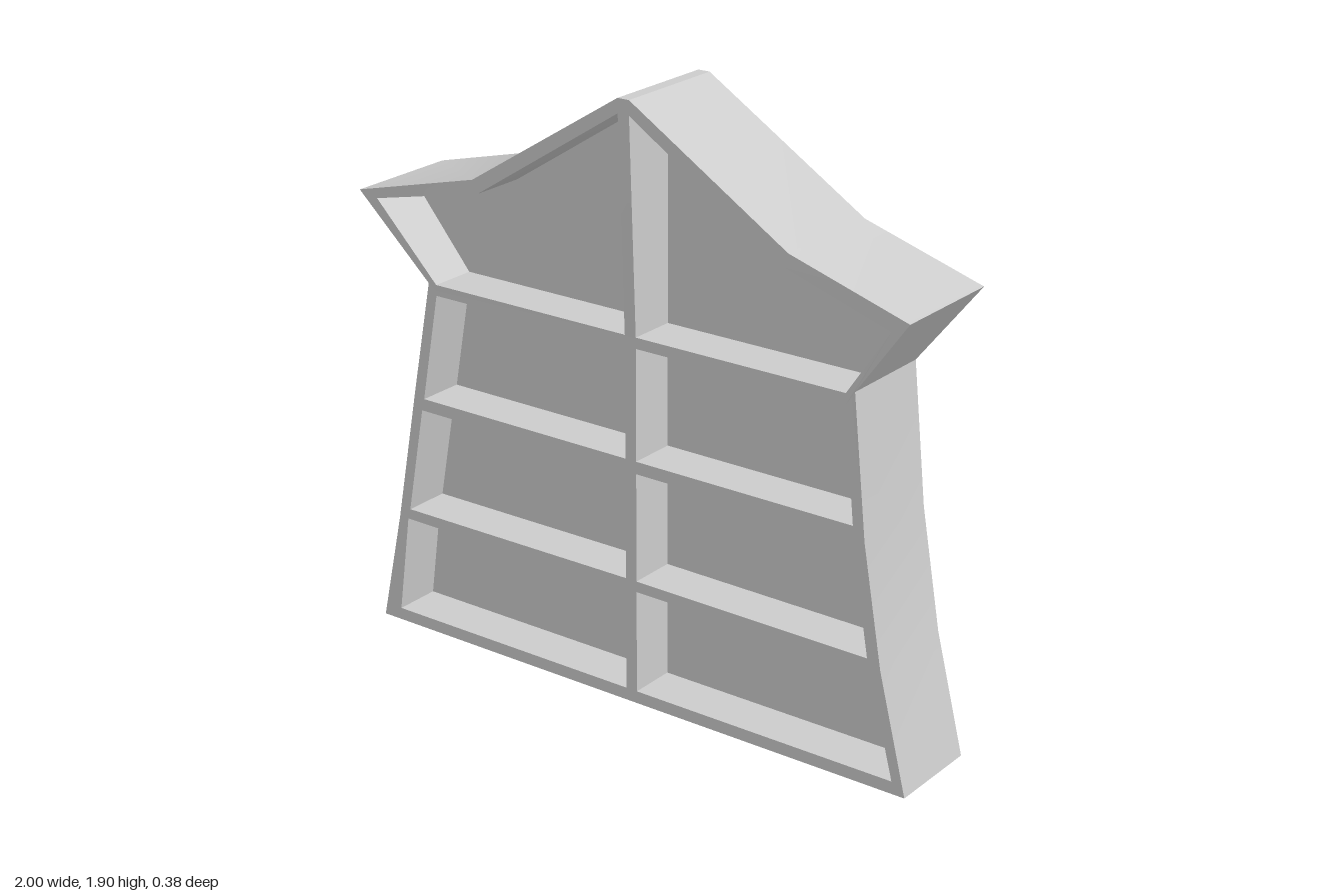
import * as THREE from 'three';
import { mergeGeometries, toCreasedNormals } from 'three/addons/utils/BufferGeometryUtils.js';

// Outer silhouette, counter-clockwise: flared sides, pointed eaves, peaked roof
const outline = [
  [-0.99, 0], [1, 0], [0.905, 0.38], [0.84, 0.76], [0.795, 1.2], [0.98, 1.445], [0.585, 1.565],
  [0.04, 1.905], [0, 1.905], [-0.545, 1.565], [-1, 1.45], [-0.755, 1.19], [-0.83, 0.8], [-0.91, 0.37],
];

// Compartment openings, counter-clockwise, bottom row to top row
const rightOpenings = [
  [[0.04, 0.04], [0.955, 0.04], [0.87, 0.37], [0.04, 0.375]],
  [[0.04, 0.41], [0.86, 0.405], [0.8, 0.76], [0.04, 0.76]],
  [[0.04, 0.8], [0.8, 0.8], [0.765, 1.155], [0.04, 1.155]],
  [[0.04, 1.19], [0.765, 1.19], [0.92, 1.41], [0.56, 1.525], [0.04, 1.86]],
];
const leftOpenings = [
  [[-0.92, 0.04], [0, 0.04], [0, 0.37], [-0.875, 0.37]],
  [[-0.865, 0.405], [0, 0.41], [0, 0.76], [-0.8, 0.76]],
  [[-0.79, 0.8], [0, 0.8], [0, 1.155], [-0.725, 1.155]],
  [[-0.725, 1.19], [0, 1.19], [0, 1.86], [-0.525, 1.525], [-0.93, 1.435]],
];

// Depth grows between the shoulders and the eaves
const flare = (y) => THREE.MathUtils.clamp((y - 1.2) / 0.24, 0, 1);
const frontZ = (y) => 0.165 + 0.028 * flare(y);
const backZ = (y) => -0.148 - 0.043 * flare(y);
const floorZ = () => 0.01;

const toPoints = (loop) => loop.map(([x, y]) => new THREE.Vector2(x, y));

// Flat sheet filling a loop, with its depth set by a rule
function sheet(loop, zRule, holes = [], flip = false) {
  const shape = new THREE.Shape(toPoints(loop));
  holes.forEach((h) => shape.holes.push(new THREE.Path(toPoints(h))));
  const geo = new THREE.ShapeGeometry(shape);
  const pos = geo.attributes.position;
  for (let i = 0; i < pos.count; i++) pos.setZ(i, zRule(pos.getY(i)));
  if (flip) geo.index.array.reverse();
  geo.deleteAttribute('uv');
  geo.deleteAttribute('normal');
  return geo.toNonIndexed();
}

// Band of walls along a loop between two depth rules
function walls(loop, nearZ, farZ) {
  const v = [];
  loop.forEach(([ax, ay], i) => {
    const [bx, by] = loop[(i + 1) % loop.length];
    const a = [ax, ay, nearZ(ay)], b = [bx, by, nearZ(by)];
    const c = [ax, ay, farZ(ay)], d = [bx, by, farZ(by)];
    v.push(...a, ...c, ...d, ...a, ...d, ...b);
  });
  const geo = new THREE.BufferGeometry();
  geo.setAttribute('position', new THREE.Float32BufferAttribute(v, 3));
  return geo;
}

function part(name, geos) {
  const merged = mergeGeometries(geos);
  merged.computeVertexNormals();
  const mesh = new THREE.Mesh(toCreasedNormals(merged, 0.4), new THREE.MeshStandardMaterial({ color: 0xcccccc }));
  mesh.name = name;
  return mesh;
}

export function createModel() {
  const group = new THREE.Group();
  group.name = 'houseShelf';

  // Front frame, side walls and a back panel folded at the shoulders
  const lowerBack = [...outline.slice(0, 5), ...outline.slice(11)];
  const upperBack = outline.slice(4, 12);
  group.add(part('cabinetShell', [
    sheet(outline, frontZ, [...rightOpenings, ...leftOpenings]),
    walls(outline, frontZ, backZ),
    sheet(lowerBack, backZ, [], true),
    sheet(upperBack, backZ, [], true),
  ]));

  // Recessed compartments: inner walls and rear panel
  const addCompartments = (side, openings) => openings.forEach((loop, i) => {
    group.add(part(`${side}Compartment${i + 1}`, [
      walls([...loop].reverse(), frontZ, floorZ),
      sheet(loop, floorZ),
    ]));
  });
  addCompartments('left', rightOpenings);
  addCompartments('right', leftOpenings);
  return group;
}
